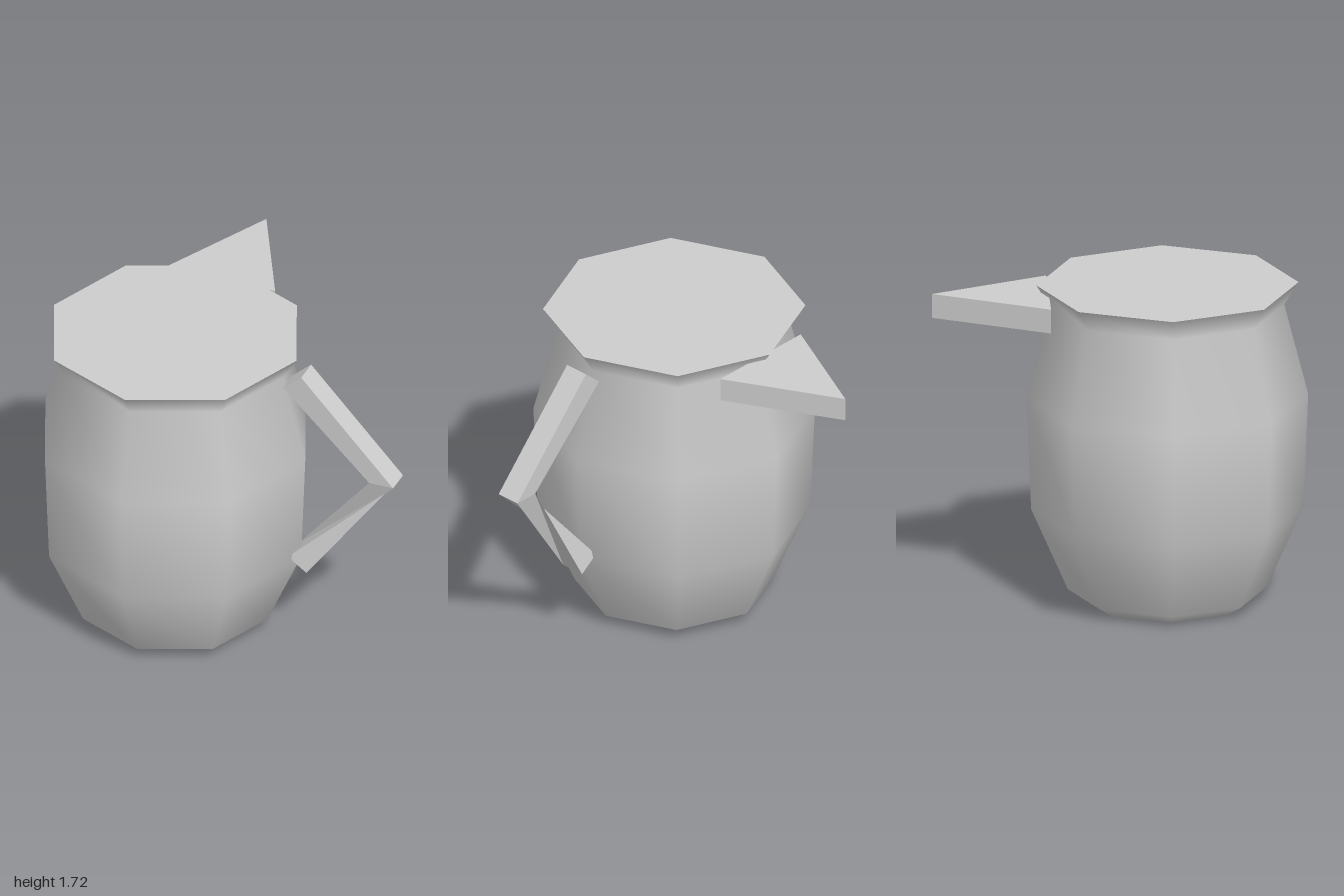
import * as THREE from 'three';

export function createModel() {
  const group = new THREE.Group();
  group.name = 'pitcher';
  const clay = new THREE.MeshStandardMaterial({ color: 0xcccccc });
  clay.name = 'light grey';
  const CX = -0.265, CZ = 0.245; // axis of the body

  const add = (geometry, name, x = 0, y = 0, z = 0) => {
    const mesh = new THREE.Mesh(geometry, clay);
    mesh.name = name;
    mesh.position.set(x, y, z);
    group.add(mesh);
  };

  // Eight-sided body with smooth shading
  const profile = [[0, 0], [0.425, 0], [0.52, 0.06], [0.712, 0.5], [0.735, 1.11], [0.61, 1.6], [0.685, 1.72]];
  add(new THREE.LatheGeometry(profile.map(([r, y]) => new THREE.Vector2(r, y)), 8), 'body', CX, 0, CZ);

  // Flat top closing the flared rim
  add(new THREE.CircleGeometry(0.685, 8).rotateX(-Math.PI / 2), 'top', CX, 1.72, CZ);

  const prism = (points, depth) => new THREE.ExtrudeGeometry(
    new THREE.Shape(points.map(([x, y]) => new THREE.Vector2(x, y))), { depth, bevelEnabled: false });

  // Triangular spout, drawn in plan and laid flat
  add(prism([[-0.305, 0.375], [0.305, 0.375], [0, 0.985]], 0.13).rotateX(-Math.PI / 2), 'spout', CX, 1.55, 0);

  // Upper bar of the handle
  const Z0 = 0.178, Z1 = 0.313;
  add(prism([[0.375, 1.58], [0.86, 1.11], [0.995, 1.11], [0.475, 1.67]], Z1 - Z0), 'upperHandle', 0, 0, Z0);

  // Lower bar: its end ring is turned a quarter, so the sides cross over
  const ring = (outer, inner) => [[...outer, Z1], [...outer, Z0], [...inner, Z0], [...inner, Z1]];
  const top = ring([0.995, 1.11], [0.86, 1.11]);
  const end = ring([0.505, 0.455], [0.4, 0.53]);
  const triangles = [];
  for (let i = 0; i < 4; i++) {
    const a = top[i], b = top[(i + 1) % 4];
    const a2 = end[(i + 3) % 4], b2 = end[i];
    triangles.push(a, a2, b, b, a2, b2);
  }
  triangles.push(end[0], end[3], end[2], end[0], end[2], end[1]);
  const lower = new THREE.BufferGeometry();
  lower.setAttribute('position', new THREE.Float32BufferAttribute(triangles.flat(), 3));
  lower.computeVertexNormals();
  add(lower, 'lowerHandle');

  return group;
}
